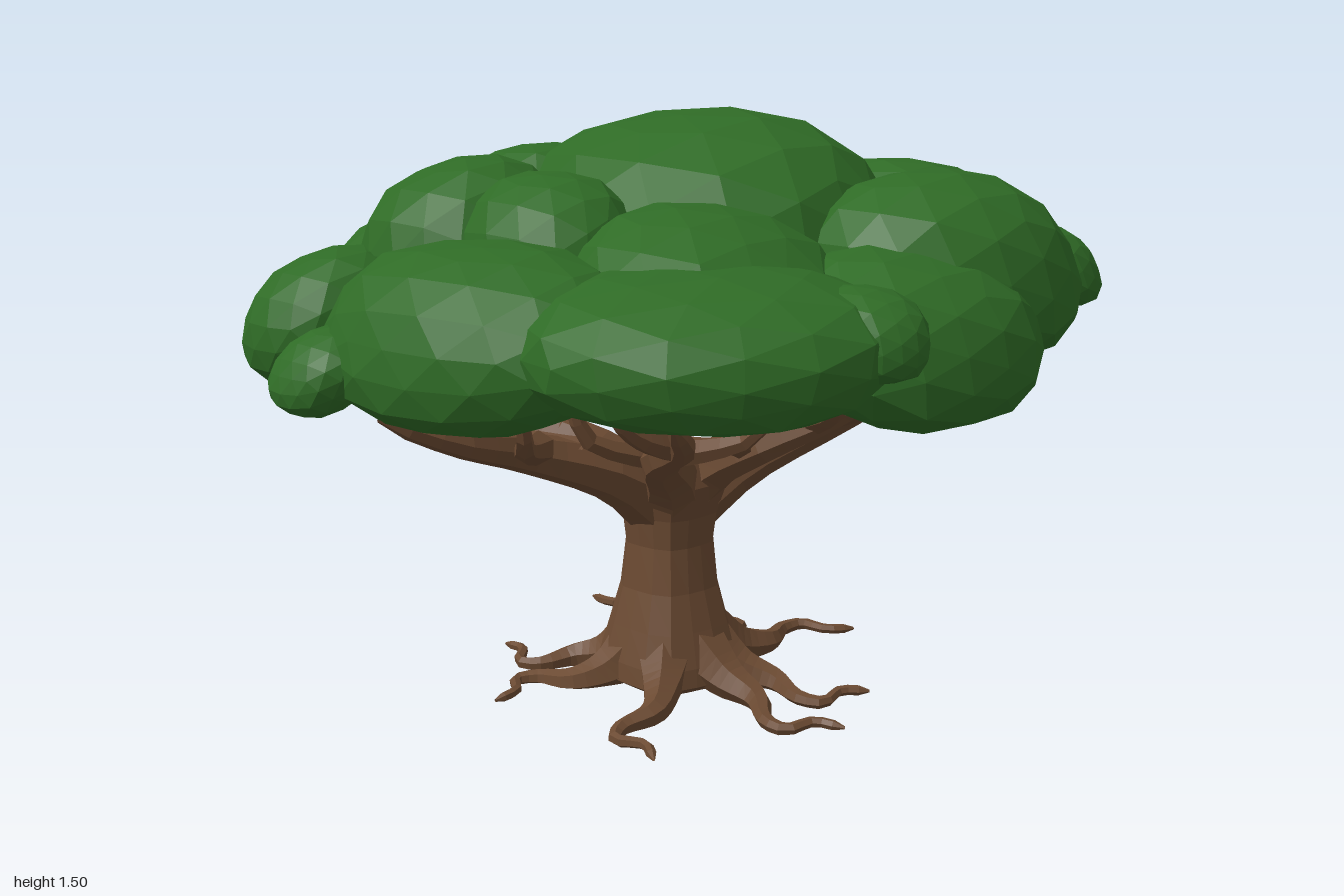
import * as THREE from 'three';

const bark = new THREE.MeshStandardMaterial({ color: 0x6b4a32, flatShading: true, side: THREE.DoubleSide });
const leaf = new THREE.MeshStandardMaterial({ color: 0x2f6b26, flatShading: true });

// Tube through points that tapers from r0 to r1 and closes at the tip
function taper(name, points, r0, r1, segments, sides, power) {
  const curve = new THREE.CatmullRomCurve3(points.map(p => new THREE.Vector3(...p)));
  const geo = new THREE.TubeGeometry(curve, segments, 1, sides);
  const pos = geo.attributes.position, v = new THREE.Vector3();
  for (let i = 0; i < pos.count; i++) {
    const t = Math.floor(i / (sides + 1)) / segments;
    const c = curve.getPointAt(t);
    const r = t === 1 ? r1 * 0.3 : r1 + (r0 - r1) * Math.pow(1 - t, power);
    v.fromBufferAttribute(pos, i).sub(c).multiplyScalar(r).add(c);
    pos.setXYZ(i, v.x, Math.max(v.y, 0.01), v.z);
  }
  const mesh = new THREE.Mesh(geo, bark);
  mesh.name = name;
  return mesh;
}

// Lumpy, slightly boxy ellipsoid, turned about the vertical and leaning in towards the crown
function leafClump([x, y, z, rx, ry, rz, turn = 0], i) {
  const geo = new THREE.IcosahedronGeometry(1, 2);
  const pos = geo.attributes.position, p = 2.25;
  for (let k = 0; k < pos.count; k++) {
    const a = pos.getX(k), b = pos.getY(k), c = pos.getZ(k);
    const box = Math.pow(Math.abs(a) ** p + Math.abs(b) ** p + Math.abs(c) ** p, -1 / p);
    const f = box * (1 + 0.025 * Math.sin(4 * a + i) * Math.cos(3 * c + 2 * i) + 0.02 * Math.sin(5 * b + 3 * c + i));
    pos.setXYZ(k, a * f * rx, b * f * ry, c * f * rz);
  }
  geo.rotateY(turn);
  const lean = i === 0 ? 0 : 0.45;
  for (let k = 0; k < pos.count; k++) {
    const h = pos.getY(k) * lean;
    pos.setX(k, pos.getX(k) - x * h);
    pos.setZ(k, pos.getZ(k) - z * h);
  }
  const mesh = new THREE.Mesh(geo, leaf);
  mesh.position.set(x, y, z);
  mesh.name = 'leafClump';
  return mesh;
}

function makeTrunk() {
  const profile = [[0.001, 0], [0.13, 0.005], [0.185, 0.04], [0.18, 0.09], [0.155, 0.18], [0.128, 0.28],
    [0.115, 0.4], [0.125, 0.48], [0.155, 0.57], [0.13, 0.64], [0.001, 0.67]];
  const geo = new THREE.LatheGeometry(profile.map(p => new THREE.Vector2(...p)), 16);
  const pos = geo.attributes.position;
  for (let i = 0; i < pos.count; i++) {
    const a = Math.atan2(pos.getZ(i), pos.getX(i)), y = pos.getY(i);
    const f = 1 + 0.05 * Math.cos(5 * a + 2 * y);
    pos.setXYZ(i, pos.getX(i) * f - 0.03, y, pos.getZ(i) * f);
  }
  const mesh = new THREE.Mesh(geo, bark);
  mesh.name = 'trunk';
  return mesh;
}

// Crooked root along the ground, ending at x, z
function makeRoot([x, z, bend]) {
  const dx = x + 0.03, len = Math.hypot(dx, z);
  const at = (t, side, y) => [-0.03 + dx * t - z / len * side * bend, y, z * t + dx / len * side * bend];
  return taper('root', [at(0.16, 0, 0.12), at(0.36, 0, 0.055), at(0.55, 0.01, 0.033), at(0.7, 0.08, 0.026),
    at(0.82, 0.085, 0.026), at(0.87, 0.01, 0.03), at(1, -0.02, 0.026)], 0.09, 0.013, 20, 6, 2.5);
}

// Limb from the fork to an end point, with forked twigs along it
function makeLimb([x, y, z, r]) {
  const g = new THREE.Group();
  g.name = 'limb';
  const len = Math.hypot(x, z), nx = -z / len, nz = x / len;
  const at = (t, h, s = 0) => [-0.03 * (1 - t) + x * t + nx * s, h, z * t + nz * s];
  const rise = t => 0.58 + (y - 0.58) * t;
  g.add(taper('branch', [at(0.02, 0.48), at(0.2, 0.6), at(0.5, rise(0.42), 0.025),
    at(0.78, rise(0.7), -0.025), at(1, y)], r, 0.022, 12, 7, 1.3));
  [[0.38, 1, 0.25], [0.54, -1, 0.24], [0.76, 1, 0.14]].forEach(([t, side, reach]) => {
    const h = rise(t * 0.9);
    g.add(taper('twig', [at(t - 0.05, h), at(t + 0.08, h + 0.035, side * reach * 0.45),
      at(t + 0.15, h + 0.08, side * reach * 0.8), at(t + 0.2, 0.92, side * reach)], r * 0.46, 0.014, 7, 6, 1.3));
  });
  return g;
}

export function createModel() {
  const tree = new THREE.Group();
  tree.name = 'tree';
  tree.add(makeTrunk());

  // Roots: end x, end z, bend
  [[-0.46, 0.33, 1], [-0.02, 0.57, 1], [0.2, 0.49, 1], [0.54, 0.17, -1],
    [0.37, -0.17, 1], [0.22, -0.53, 1], [-0.24, -0.44, -1], [-0.48, -0.2, 1]]
    .forEach(p => tree.add(makeRoot(p)));

  // Limbs: end x, y, z, base radius
  [[0.8, 0.92, 0.5, 0.1], [0.46, 0.87, -0.56, 0.095], [-0.48, 0.85, -0.68, 0.09],
    [-0.87, 0.86, -0.1, 0.095], [-0.5, 0.87, 0.46, 0.09], [0.12, 0.86, 0.56, 0.085]]
    .forEach(p => tree.add(makeLimb(p)));

  // Canopy clumps: centre x, y, z, then radii and turn
  const canopy = new THREE.Group();
  canopy.name = 'canopy';
  [
    [0.16, 1.17, -0.05, 0.47, 0.335, 0.5],         // crown
    [0.72, 1.12, 0.23, 0.275, 0.24, 0.34],         // outer ring, clockwise from +x
    [0.40, 1.13, 0.55, 0.385, 0.24, 0.285],
    [0.13, 1.01, 0.63, 0.36, 0.21, 0.27],
    [-0.43, 1.05, 0.50, 0.43, 0.165, 0.31, -0.6],
    [-0.25, 1.08, 0.30, 0.33, 0.235, 0.32],
    [-0.68, 1.04, 0.02, 0.23, 0.21, 0.39, 0.2],
    [-0.70, 1.02, -0.53, 0.195, 0.17, 0.19],
    [-0.28, 1.06, -0.60, 0.31, 0.21, 0.25],
    [0.20, 1.0, -0.70, 0.21, 0.165, 0.205],
    [0.57, 1.035, -0.57, 0.275, 0.17, 0.245, -0.5],
    [0.67, 1.05, -0.22, 0.225, 0.2, 0.245],
    [-0.39, 1.17, -0.08, 0.19, 0.21, 0.24],        // inner shoulder
    [-0.39, 1.17, -0.38, 0.25, 0.23, 0.25],
    [-0.07, 1.2, -0.47, 0.23, 0.21, 0.24],
    [0.76, 1.10, 0.63, 0.11, 0.11, 0.12],          // small tufts
    [-0.21, 1.08, 0.76, 0.125, 0.1, 0.13],
    [-0.89, 0.95, -0.27, 0.11, 0.1, 0.125],
  ].forEach((c, i) => canopy.add(leafClump(c, i)));
  tree.add(canopy);
  return tree;
}
